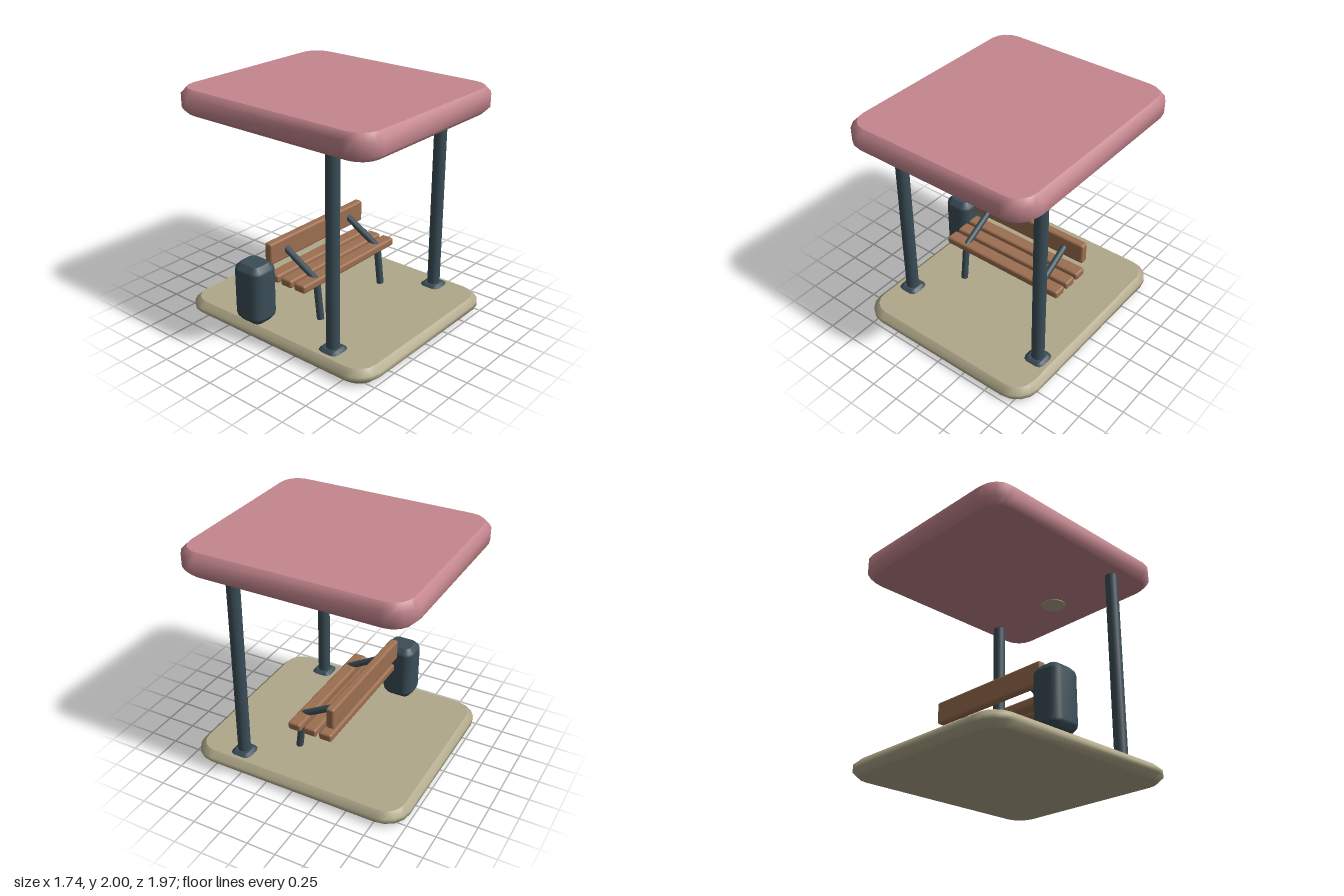
import * as THREE from 'three';
import { RoundedBoxGeometry } from 'three/addons/geometries/RoundedBoxGeometry.js';

const paint = (name, color) => {
  const m = new THREE.MeshStandardMaterial({ color });
  m.name = name;
  return m;
};

// Rounded rectangle outline, as [x, z] corners
function outline(hx, hz, r, steps = 4) {
  const pts = [];
  [[1, 1], [-1, 1], [-1, -1], [1, -1]].forEach(([sx, sz], q) => {
    for (let i = 0; i <= steps; i++) {
      const a = (q + i / steps) * Math.PI / 2;
      pts.push([sx * (hx - r) + r * Math.cos(a), sz * (hz - r) + r * Math.sin(a)]);
    }
  });
  return pts;
}

// Block with rounded corners: smooth sides lofted through rings [y, inset], flat caps
function slab(hx, hz, r, rings, steps) {
  const pos = [], index = [];
  const loops = rings.map(([y, d]) => outline(hx - d, hz - d, r - d, steps).map(([x, z]) => [x, y, z]));
  const n = loops[0].length;
  loops.forEach(loop => loop.forEach(p => pos.push(...p)));
  for (let k = 0; k < loops.length - 1; k++) {
    for (let i = 0; i < n; i++) {
      const a = k * n + i, b = k * n + (i + 1) % n;
      index.push(a, a + n, b, b, a + n, b + n);
    }
  }
  [loops[0], loops[loops.length - 1]].forEach((loop, top) => {
    const c = pos.length / 3;
    pos.push(0, loop[0][1], 0);
    loop.forEach(p => pos.push(...p));
    for (let i = 0; i < n; i++) {
      const a = c + 1 + i, b = c + 1 + (i + 1) % n;
      index.push(c, top ? b : a, top ? a : b);
    }
  });
  const g = new THREE.BufferGeometry();
  g.setAttribute('position', new THREE.Float32BufferAttribute(pos, 3));
  g.setIndex(index);
  g.computeVertexNormals();
  return g;
}

export function createModel() {
  const root = new THREE.Group();
  root.name = 'shelter';
  const pink = paint('rose roof', 0xc4868e);
  const stone = paint('stone', 0xb0a88a);
  const metal = paint('dark metal', 0x3a4d57);
  const wood = paint('wood', 0x9c6f50);

  const add = (parent, name, geometry, material, x = 0, y = 0, z = 0) => {
    const m = new THREE.Mesh(geometry, material);
    m.name = name;
    m.position.set(x, y, z);
    parent.add(m);
    return m;
  };

  // Round bar between two points
  const bar = (parent, name, from, to, radius) => {
    const a = new THREE.Vector3(...from), b = new THREE.Vector3(...to);
    const dir = b.clone().sub(a);
    const m = add(parent, name, new THREE.CylinderGeometry(radius, radius, dir.length(), 10), metal);
    m.position.copy(a).add(b).multiplyScalar(0.5);
    m.quaternion.setFromUnitVectors(new THREE.Vector3(0, 1, 0), dir.normalize());
  };

  // Floor and roof
  add(root, 'floor', slab(0.87, 0.985, 0.21, [[0, 0.05], [0.045, 0], [0.085, 0], [0.13, 0.05]]), stone);
  add(root, 'roof', slab(0.87, 0.985, 0.21, [[1.79, 0.05], [1.84, 0], [1.95, 0], [2, 0.05]]), pink);
  add(root, 'ceilingLamp', new THREE.CylinderGeometry(0.11, 0.11, 0.008, 16), stone, 0, 1.788, 0.56);

  // Front posts with their foot plates
  for (const x of [-0.695, 0.695]) {
    const post = new THREE.Group();
    post.name = 'post';
    root.add(post);
    add(post, 'postShaft', new THREE.CylinderGeometry(0.055, 0.055, 1.7, 16), metal, x, 0.95, 0.545);
    add(post, 'footPlate', slab(0.092, 0.092, 0.045, [[0.12, 0], [0.135, 0], [0.155, 0.03]], 2), metal, x, 0, 0.545);
  }

  // Bench
  const bench = new THREE.Group();
  bench.name = 'bench';
  root.add(bench);
  for (const z of [0.107, -0.038, -0.182]) {
    add(bench, 'seatSlat', new RoundedBoxGeometry(1.195, 0.072, 0.117, 2, 0.02), wood, 0, 0.466, z);
  }
  add(bench, 'backrest', new RoundedBoxGeometry(1.195, 0.192, 0.074, 2, 0.02), wood, 0, 0.668, -0.229);
  for (const x of [-0.407, 0.407]) {
    bar(bench, 'benchLeg', [x, 0.13, 0.17], [x, 0.47, 0.13], 0.031);
    bar(bench, 'benchArm', [x, 0.47, 0.14], [x, 0.665, -0.205], 0.029);
  }

  // Litter bin
  add(root, 'litterBin', slab(0.131, 0.145, 0.085,
    [[0.137, 0.04], [0.177, 0.006], [0.2, 0], [0.59, 0], [0.612, 0.006], [0.652, 0.045]]), metal, -0.737, 0, -0.245);

  return root;
}
